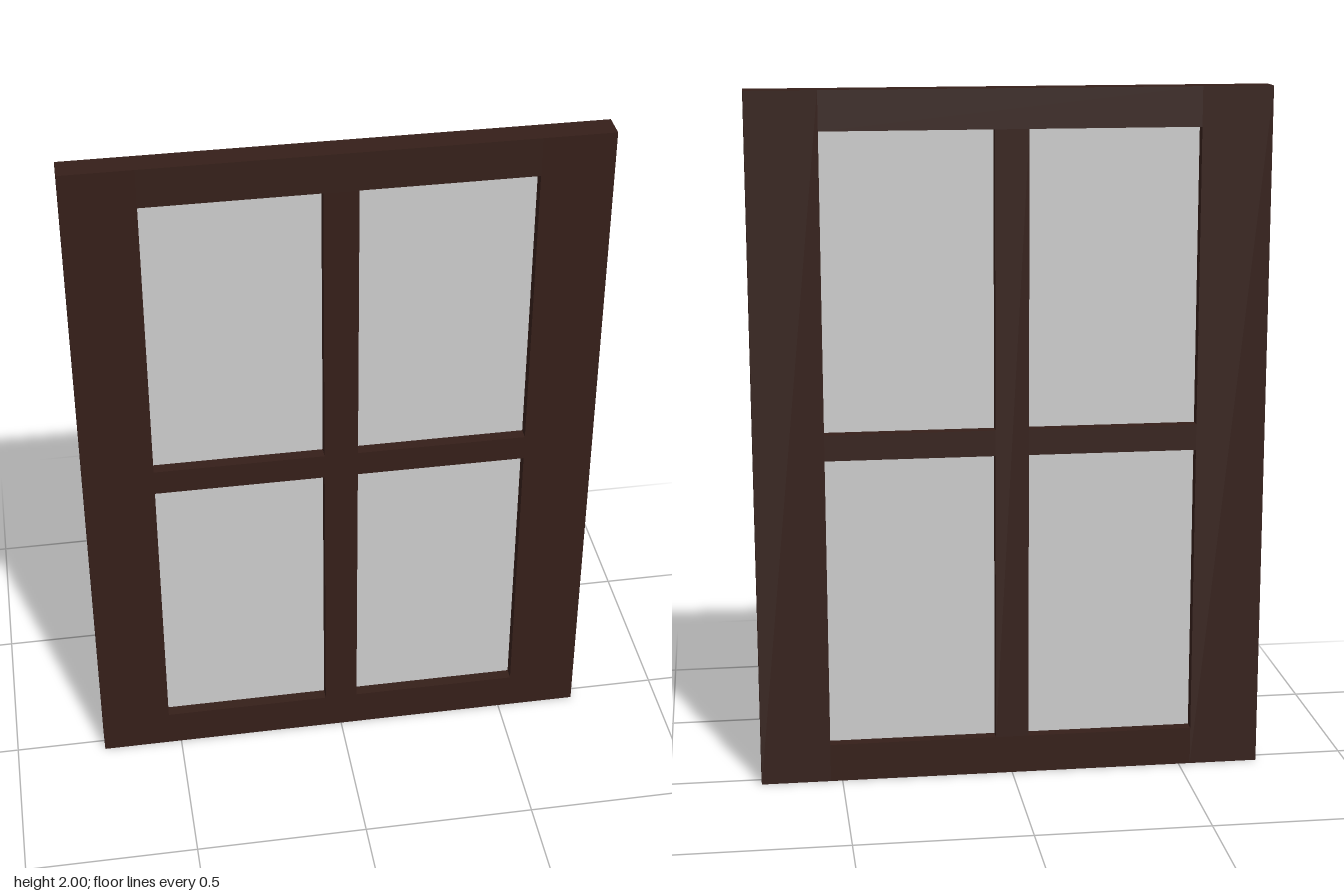
import * as THREE from 'three';

const W = 0.735, H = 2, DEPTH = 0.075;      // half width, height, thickness
const INNER = 0.534, BAR = 0.048;           // half widths: glazed opening, upright bar
const RAIL = 0.112, MID = 1, BAR_H = 0.075; // rail height, cross bar centre and height

export function createModel() {
  const group = new THREE.Group();
  const wood = new THREE.MeshStandardMaterial({ color: 0x351f19 });
  const glass = new THREE.MeshStandardMaterial({ color: 0xcccccc });

  // Box given by its x and y extents, centred on z = 0
  const slab = (name, x0, x1, y0, y1, depth = DEPTH, material = wood) => {
    const mesh = new THREE.Mesh(new THREE.BoxGeometry(x1 - x0, y1 - y0, depth), material);
    mesh.position.set((x0 + x1) / 2, (y0 + y1) / 2, 0);
    mesh.name = name;
    group.add(mesh);
  };

  // Outer frame
  slab('leftStile', INNER, W, 0, H);
  slab('rightStile', -W, -INNER, 0, H);
  slab('bottomRail', -INNER, INNER, 0, RAIL);
  slab('topRail', -INNER, INNER, H - RAIL, H);

  // Glazing bars, the cross bar being butted against the upright
  slab('uprightBar', -BAR, BAR, RAIL, H - RAIL);
  slab('leftCrossBar', BAR, INNER, MID - BAR_H / 2, MID + BAR_H / 2);
  slab('rightCrossBar', -INNER, -BAR, MID - BAR_H / 2, MID + BAR_H / 2);

  // Four thin panes set in the middle of the frame's thickness
  for (const [side, x0, x1] of [['Left', BAR, INNER], ['Right', -INNER, -BAR]]) {
    slab('lower' + side + 'Pane', x0, x1, RAIL, MID - BAR_H / 2, 0.006, glass);
    slab('upper' + side + 'Pane', x0, x1, MID + BAR_H / 2, H - RAIL, 0.006, glass);
  }

  return group;
}
